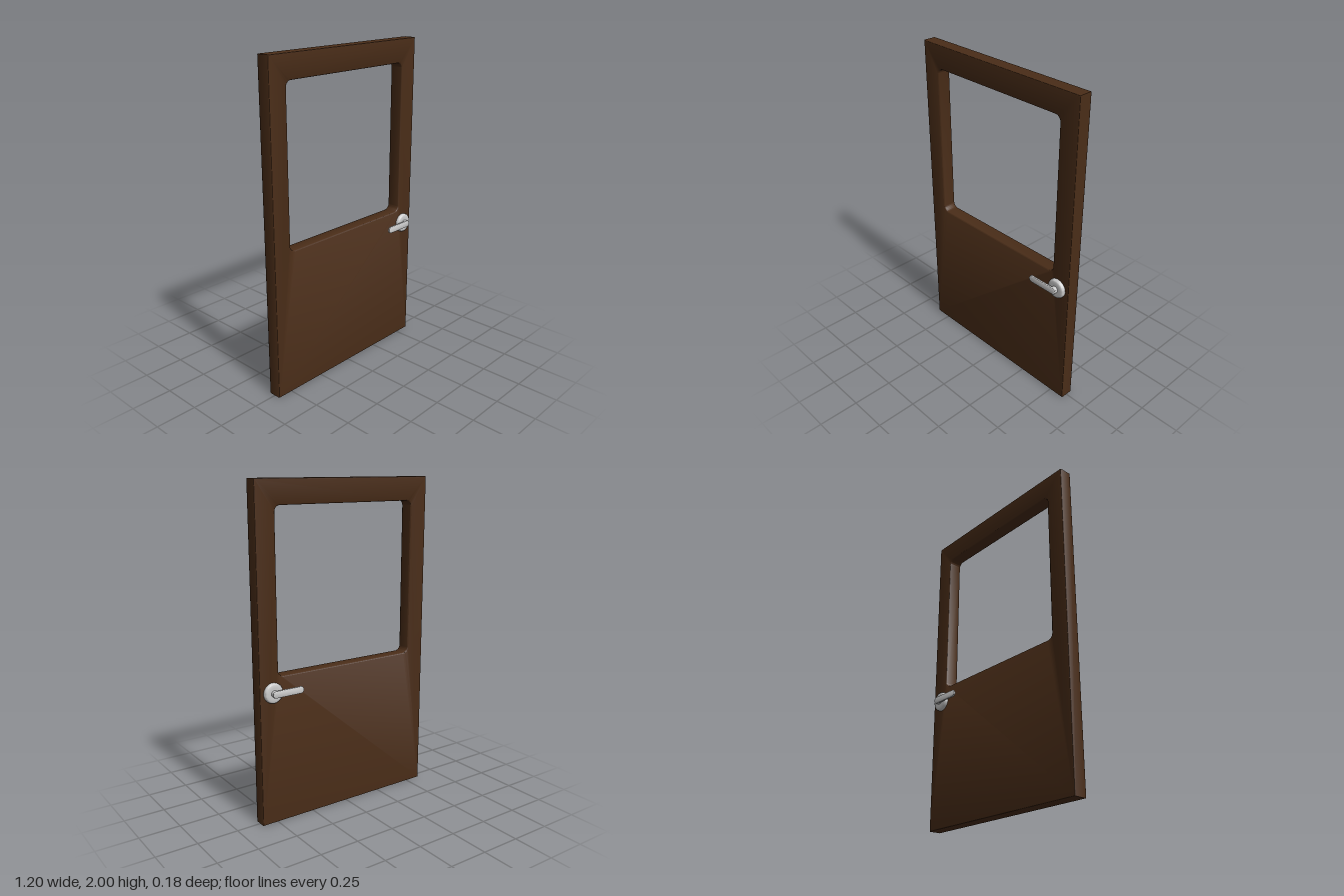
import * as THREE from 'three';
import { toCreasedNormals } from 'three/addons/utils/BufferGeometryUtils.js';

const wood = new THREE.MeshStandardMaterial({ color: 0x4a2d18 });
const metal = new THREE.MeshStandardMaterial({ color: 0xcccccc });

function mesh(name, geometry, material) {
  const m = new THREE.Mesh(geometry, material);
  m.name = name;
  return m;
}

// Rounded rectangle traced into a Shape or Path
function roundedRect(path, x0, y0, x1, y1, r) {
  path.moveTo(x0 + r, y0);
  path.lineTo(x1 - r, y0);
  path.absarc(x1 - r, y0 + r, r, -Math.PI / 2, 0);
  path.lineTo(x1, y1 - r);
  path.absarc(x1 - r, y1 - r, r, 0, Math.PI / 2);
  path.lineTo(x0 + r, y1);
  path.absarc(x0 + r, y1 - r, r, Math.PI / 2, Math.PI);
  path.lineTo(x0, y0 + r);
  path.absarc(x0 + r, y0 + r, r, Math.PI, Math.PI * 1.5);
  return path;
}

// Extrusion with softened edges that stays inside the outline
function softExtrude(shape, depth, bevel, curveSegments) {
  const geometry = new THREE.ExtrudeGeometry(shape, {
    depth: depth - 2 * bevel, bevelSize: bevel, bevelThickness: bevel,
    bevelOffset: -bevel, bevelSegments: 2, curveSegments,
  });
  geometry.translate(0, 0, bevel);
  return toCreasedNormals(geometry, 1);
}

// Lever handle, built facing +z with its spindle on the z axis
function createHandle(name) {
  const handle = new THREE.Group();
  handle.name = name;

  // Round plate with a chamfered rim
  const profile = [[0, 0], [0.06, 0], [0.06, 0.012], [0.056, 0.019], [0.05, 0.022], [0.034, 0.022], [0, 0.022]]
    .map(([r, y]) => new THREE.Vector2(r, y));
  const plate = new THREE.LatheGeometry(profile, 40).rotateX(Math.PI / 2);
  handle.add(mesh('handlePlate', toCreasedNormals(plate, 0.7), metal));

  // Spindle between plate and lever
  const spindle = new THREE.CylinderGeometry(0.021, 0.021, 0.026, 28).rotateX(Math.PI / 2);
  spindle.translate(0, 0, 0.03);
  handle.add(mesh('handleSpindle', spindle, metal));

  // Flat lever with round ends
  const outline = roundedRect(new THREE.Shape(), -0.182, -0.021, 0.022, 0.021, 0.0205);
  const lever = softExtrude(outline, 0.014, 0.004, 10);
  lever.translate(0, 0, 0.034);
  handle.add(mesh('handleLever', lever, metal));
  return handle;
}

export function createModel() {
  const model = new THREE.Group();
  model.name = 'door';

  // Door leaf with a window opening
  const outline = new THREE.Shape();
  outline.moveTo(-0.6, 0).lineTo(0.6, 0).lineTo(0.6, 2).lineTo(-0.6, 2).closePath();
  outline.holes.push(roundedRect(new THREE.Path(), -0.481, 0.899, 0.477, 1.857, 0.035));
  const leaf = softExtrude(outline, 0.084, 0.006, 8);
  leaf.translate(0, 0, -0.042);
  model.add(mesh('doorLeaf', leaf, wood));

  // Matching handles on both faces
  for (const side of [1, -1]) {
    const handle = createHandle(side > 0 ? 'frontHandle' : 'backHandle');
    handle.position.set(0.517, 0.81, side * 0.042);
    // the back handle is mirrored so both levers point the same way
    handle.scale.z = side;
    model.add(handle);
  }
  return model;
}
